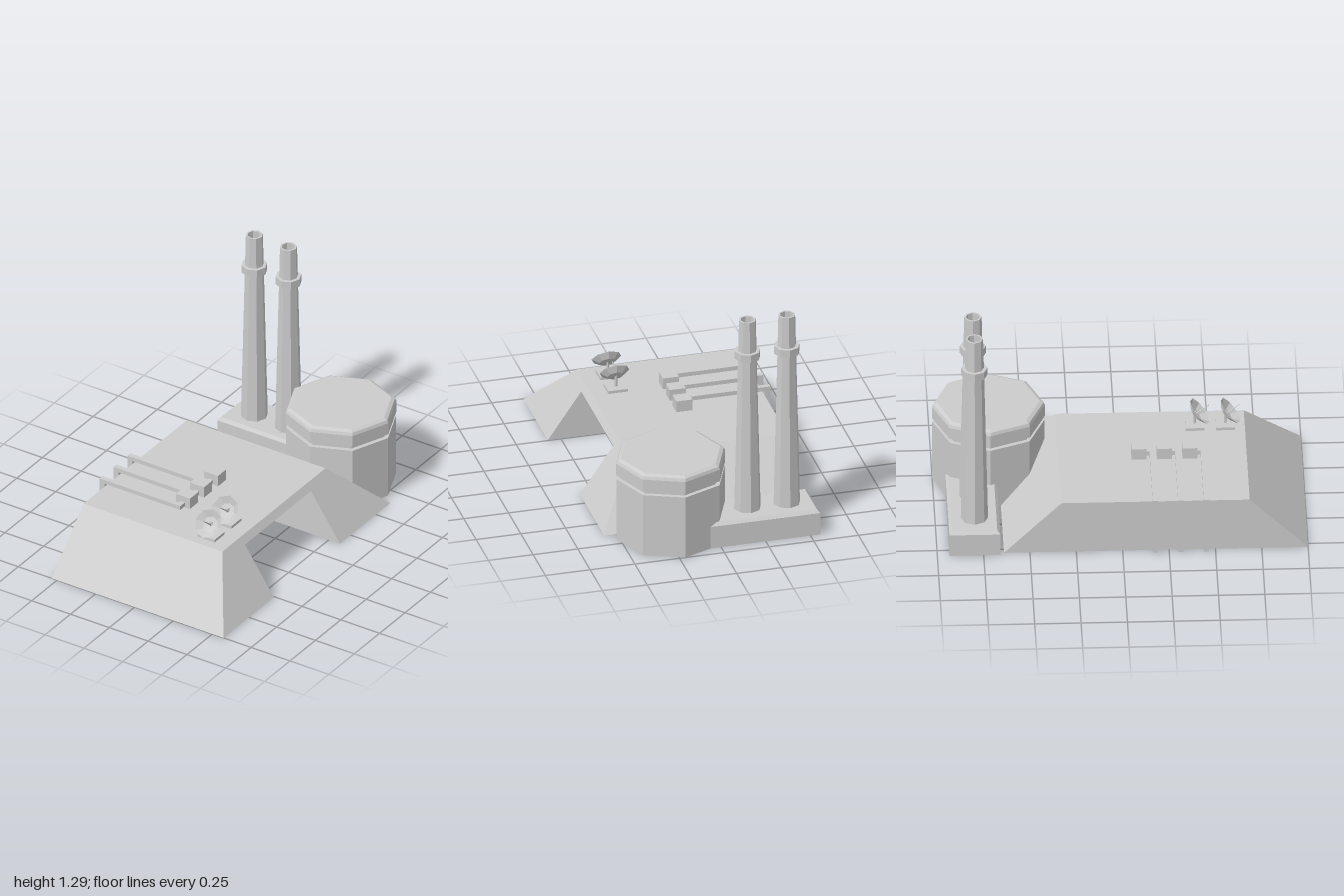
import * as THREE from 'three';

const grey = new THREE.MeshStandardMaterial({ color: 0xcccccc, flatShading: true });
const greyThin = new THREE.MeshStandardMaterial({ color: 0xcccccc, flatShading: true, side: THREE.DoubleSide });

function add(parent, name, geometry, x = 0, y = 0, z = 0, material = grey) {
  const mesh = new THREE.Mesh(geometry, material);
  mesh.name = name;
  mesh.position.set(x, y, z);
  parent.add(mesh);
  return mesh;
}

// Box given by its limits; the top can be drawn in by an inset
function block(parent, name, [x0, x1], [y0, y1], [z0, z1], inset = 0) {
  const geo = new THREE.BoxGeometry(x1 - x0, y1 - y0, z1 - z0);
  const p = geo.attributes.position;
  for (let i = 0; i < p.count; i++) {
    if (p.getY(i) < 0) continue;
    p.setX(i, p.getX(i) - Math.sign(p.getX(i)) * inset);
    p.setZ(i, p.getZ(i) - Math.sign(p.getZ(i)) * inset);
  }
  return add(parent, name, geo, (x0 + x1) / 2, (y0 + y1) / 2, (z0 + z1) / 2);
}

// Eight-sided turned shape from [radius, height] pairs
function octagonal(points) {
  return new THREE.LatheGeometry(points.map(([r, y]) => new THREE.Vector2(r, y)), 8);
}

// Sloped hall with a deep bay cut in from its left side
function hallGeometry() {
  const L = 0.572, T = 0.358, R = -0.535, H = 0.31;   // left base, left top, right wall, height
  const F = 1, TF = 0.685, B = -0.64, TB = -0.33;     // front and back, at base and top
  const W = -0.465, C = 0.27, E = L - (L - T) * C / H; // bay end wall, ceiling, ceiling edge
  const N = 0.505, M = -0.145;                        // bay front and back
  const quads = [
    [[R, 0, F], [L, 0, F], [T, H, TF], [R, H, TF]],
    [[L, 0, B], [R, 0, B], [R, H, TB], [T, H, TB]],
    [[R, H, TF], [T, H, TF], [T, H, TB], [R, H, TB]],
    [[R, 0, B], [R, 0, F], [R, H, TF], [R, H, TB]],
    // left slope around the bay opening
    [[L, 0, F], [L, 0, N], [E, C, N], [T, H, TF]],
    [[E, C, N], [E, C, M], [T, H, TB], [T, H, TF]],
    [[L, 0, M], [L, 0, B], [T, H, TB], [E, C, M]],
    // bay interior
    [[L, 0, N], [W, 0, N], [W, C, N], [E, C, N]],
    [[W, 0, M], [L, 0, M], [E, C, M], [W, C, M]],
    [[W, 0, N], [W, 0, M], [W, C, M], [W, C, N]],
    [[W, C, M], [E, C, M], [E, C, N], [W, C, N]],
    // underside
    [[R, 0, N], [L, 0, N], [L, 0, F], [R, 0, F]],
    [[R, 0, B], [L, 0, B], [L, 0, M], [R, 0, M]],
    [[R, 0, M], [W, 0, M], [W, 0, N], [R, 0, N]],
  ];
  const pos = quads.flatMap(([a, b, c, d]) => [a, b, c, a, c, d].flat());
  const geo = new THREE.BufferGeometry();
  geo.setAttribute('position', new THREE.Float32BufferAttribute(pos, 3));
  geo.computeVertexNormals();
  return geo;
}

function buildDish(x, z) {
  const dish = new THREE.Group();
  dish.name = 'dishAntenna';
  dish.position.set(x, 0.31, z);
  block(dish, 'dishPad', [-0.055, 0.055], [0, 0.016], [-0.05, 0.05]);
  add(dish, 'dishPost', new THREE.CylinderGeometry(0.008, 0.008, 0.075, 6), 0, 0.05, 0);
  // Bowl tilted to look forward and up
  const head = new THREE.Group();
  head.name = 'dishHead';
  head.position.set(0, 0.09, 0.028);
  head.rotation.x = 0.89;
  dish.add(head);
  add(head, 'dishBowl', octagonal([[0, -0.036], [0.045, -0.027], [0.083, 0]]), 0, 0, 0, greyThin);
  add(head, 'dishFeed', new THREE.CylinderGeometry(0.002, 0.005, 0.096, 6), 0, 0.014, 0);
  return dish;
}

function buildChimney(x, z) {
  const chimney = new THREE.Group();
  chimney.name = 'chimney';
  chimney.position.set(x, 0, z);
  add(chimney, 'chimneyStack', octagonal([[0.074, 0.14], [0.047, 1.29], [0.037, 1.29], [0.037, 1.15], [0, 1.15]]));
  add(chimney, 'chimneyCollar', octagonal([[0.045, 1.06], [0.071, 1.06], [0.071, 1.105], [0.045, 1.105]]));
  return chimney;
}

function buildPipe(z) {
  const pipe = new THREE.Group();
  pipe.name = 'roofPipe';
  pipe.position.z = z;
  const half = [-0.014, 0.014];
  block(pipe, 'pipeDrop', [-0.577, -0.545], [0.01, 0.317], half);
  block(pipe, 'pipeRun', [-0.577, -0.058], [0.317, 0.341], half);
  block(pipe, 'pipeElbow', [-0.086, -0.058], [0.317, 0.341], [-0.04, -0.014]);
  block(pipe, 'pipeBox', [-0.115, -0.025], [0.311, 0.376], [-0.112, -0.032]);
  return pipe;
}

export function createModel() {
  const model = new THREE.Group();
  model.name = 'powerPlant';

  add(model, 'hall', hallGeometry());

  // Storage tank with a groove under its rounded lid
  add(model, 'tank', octagonal([
    [0, 0], [0.303, 0], [0.303, 0.365], [0.278, 0.365], [0.278, 0.39],
    [0.305, 0.39], [0.305, 0.46], [0.298, 0.477], [0.278, 0.487], [0, 0.487],
  ]), 0.217, 0, -0.697);

  // Chimneys on their plinth
  block(model, 'plinth', [-0.555, 0.12], [0, 0.13], [-0.935, -0.66]);
  block(model, 'plinthBevel', [-0.555, 0.12], [0.13, 0.147], [-0.935, -0.66], 0.016);
  for (const x of [-0.405, -0.185]) model.add(buildChimney(x, -0.795));

  for (const z of [0.175, 0.312, 0.45]) model.add(buildPipe(z));
  for (const z of [0.415, 0.58]) model.add(buildDish(0.217, z));

  return model;
}
